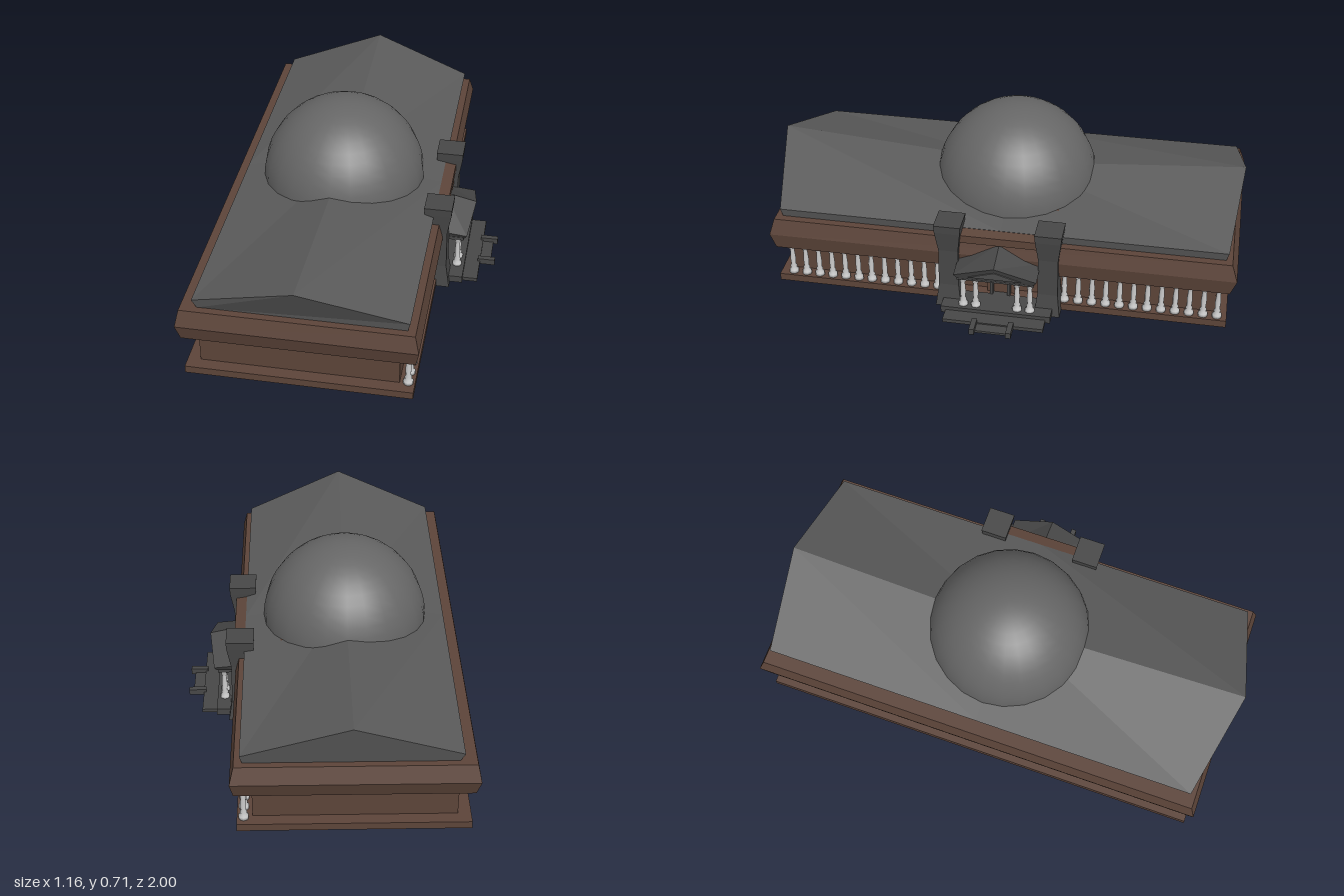
import * as THREE from 'three';

const ZC = -0.025; // z of the portico and dome axis

const brown = new THREE.MeshStandardMaterial({ color: 0x5c4439, flatShading: true });
const slate = new THREE.MeshStandardMaterial({ color: 0x5a5a5a, flatShading: true });
const stone = new THREE.MeshStandardMaterial({ color: 0x474747, flatShading: true });
const domeGrey = new THREE.MeshStandardMaterial({ color: 0x666666 });
const pale = new THREE.MeshStandardMaterial({ color: 0xcccccc });

// Closed solid through rings of points, each counter-clockwise seen from the last ring's side
function loft(rings) {
  const n = rings[0].length, last = (rings.length - 1) * n, index = [];
  for (let r = 0; r < rings.length - 1; r++) {
    for (let i = 0; i < n; i++) {
      const a = r * n + i, b = r * n + (i + 1) % n;
      index.push(a, b, b + n, a, b + n, a + n);
    }
  }
  for (let i = 1; i < n - 1; i++) {
    index.push(0, i + 1, i, last, last + i, last + i + 1);
  }
  const g = new THREE.BufferGeometry();
  g.setAttribute('position', new THREE.Float32BufferAttribute(rings.flat(2), 3));
  g.setIndex(index);
  const flat = g.toNonIndexed();
  flat.computeVertexNormals();
  return flat;
}

// Horizontal rectangular ring for loft
const rect = (y, x0, x1, z0, z1) => [[x0, y, z1], [x1, y, z1], [x1, y, z0], [x0, y, z0]];
const block = (x0, x1, y0, y1, z0, z1) => loft([rect(y0, x0, x1, z0, z1), rect(y1, x0, x1, z0, z1)]);

export function createModel() {
  const model = new THREE.Group();
  model.name = 'domedHall';
  const add = (name, geometry, material, parent = model) => {
    const mesh = new THREE.Mesh(geometry, material);
    mesh.name = name;
    parent.add(mesh);
    return mesh;
  };

  // Plinth, walls and bulging entablature
  add('plinth', block(-0.56, 0.345, 0, 0.032, -0.97, 0.935), brown);
  add('walls', block(-0.508, 0.285, 0.03, 0.2, -0.92, 0.885), brown);
  add('entablature', loft([
    rect(0.178, -0.565, 0.352, -0.972, 0.935),
    rect(0.248, -0.58, 0.365, -0.996, 0.955),
    rect(0.317, -0.565, 0.348, -0.972, 0.935),
  ]), brown);

  // Roof whose ridge rises to overhanging gables at both ends
  const roofRing = (zBottom, zEave, zRidge, ridge) => [
    [-0.5, 0.315, zBottom], [0.315, 0.315, zBottom], [0.325, 0.355, zEave],
    [-0.097, ridge, zRidge], [-0.517, 0.355, zEave],
  ];
  add('roof', loft([
    roofRing(-0.945, -0.955, -0.995, 0.508),
    roofRing(ZC, ZC, ZC, 0.43),
    roofRing(0.905, 0.912, 1.0, 0.508),
  ]), slate);

  // Dome
  const dome = add('dome', new THREE.SphereGeometry(0.343, 24, 12, 0, Math.PI * 2, 0, Math.PI / 2), domeGrey);
  dome.position.set(-0.095, 0.368, ZC);

  // Sloping deck between the dome and the pylons
  add('porticoDeck', loft([
    rect(0.31, 0.12, 0.37, ZC - 0.25, ZC + 0.25),
    [[0.12, 0.392, ZC + 0.22], [0.37, 0.345, ZC + 0.22], [0.37, 0.345, ZC - 0.22], [0.12, 0.392, ZC - 0.22]],
  ]), brown);

  // Columns, turned from one profile
  const profile = [[0, 0], [0.02, 0], [0.02, 0.014], [0.012, 0.022], [0.015, 0.032], [0.01, 0.04],
    [0.012, 0.075], [0.009, 0.118], [0.013, 0.124], [0.012, 0.132], [0.018, 0.14], [0.018, 0.15], [0, 0.15]];
  const columnGeometry = new THREE.LatheGeometry(profile.map(([r, y]) => new THREE.Vector2(r, y)), 10);
  const columns = new THREE.Group();
  columns.name = 'columns';
  model.add(columns);
  const addColumn = (name, x, z) => add(name, columnGeometry, pale, columns).position.set(x, 0.032, z);
  for (const side of [-1, 1]) {
    for (let i = 0; i < 12; i++) addColumn('colonnadeColumn', 0.318, ZC + side * (0.27 + i * 0.0577));
    for (const offset of [0.087, 0.14]) addColumn('porticoColumn', 0.42, ZC + side * offset);
  }

  // Waisted pylons on both sides of the portico
  for (const side of [-1, 1]) {
    const z = ZC + side * 0.208;
    const ring = (y, x0, x1, w) => rect(y, x0, x1, z - w, z + w);
    add('pylon', loft([
      ring(0, 0.285, 0.4, 0.054), ring(0.03, 0.288, 0.395, 0.05), ring(0.1, 0.3, 0.384, 0.042),
      ring(0.27, 0.302, 0.382, 0.041), ring(0.365, 0.287, 0.398, 0.053), ring(0.4, 0.285, 0.4, 0.056),
    ]), stone);
  }

  // Portico floor, step and cheek blocks
  add('porticoFloor', block(0.33, 0.452, 0.006, 0.036, ZC - 0.23, ZC + 0.23), stone);
  add('porticoStep', block(0.34, 0.515, 0.004, 0.02, ZC - 0.21, ZC + 0.21), stone);
  add('frontStep', block(0.5, 0.56, 0.004, 0.014, ZC - 0.07, ZC + 0.07), stone);
  for (const side of [-1, 1]) {
    const z = ZC + side * 0.076;
    add('stepCheek', block(0.505, 0.578, 0.006, 0.032, z - 0.011, z + 0.011), stone);
  }

  // Forward-leaning pediment with a recessed triangle, on a beam
  const gable = (x, lean, w, y0, y1, y2) => [
    [x, y0, ZC + w - 0.015], [x, y0, ZC - w + 0.015], [x + lean * 0.3, y1, ZC - w],
    [x + lean, y2, ZC], [x + lean * 0.3, y1, ZC + w],
  ];
  add('pediment', loft([gable(0.34, 0, 0.172, 0.19, 0.222, 0.305), gable(0.45, 0.03, 0.172, 0.188, 0.21, 0.272)]), stone);
  add('pedimentPanel', loft([
    [[0.44, 0.206, ZC + 0.11], [0.44, 0.206, ZC - 0.11], [0.46, 0.25, ZC]],
    [[0.462, 0.206, ZC + 0.11], [0.462, 0.206, ZC - 0.11], [0.477, 0.25, ZC]],
  ]), slate);
  add('porticoBeam', block(0.34, 0.445, 0.178, 0.192, ZC - 0.16, ZC + 0.16), stone);

  // Doorway: brown surround, dark arch and door
  add('doorSurround', block(0.27, 0.31, 0.03, 0.155, ZC - 0.058, ZC + 0.058), brown);
  const arch = new THREE.Shape([[-0.042, 0], [0.042, 0], [0.042, 0.065], [0.022, 0.085], [-0.022, 0.085], [-0.042, 0.065]]
    .map(([x, y]) => new THREE.Vector2(x, y)));
  arch.holes.push(new THREE.Path([[-0.03, 0.004], [-0.03, 0.06], [-0.017, 0.074], [0.017, 0.074], [0.03, 0.06], [0.03, 0.004]]
    .map(([x, y]) => new THREE.Vector2(x, y))));
  const doorArch = add('doorArch', new THREE.ExtrudeGeometry(arch, { depth: 0.03, bevelEnabled: false }), stone);
  doorArch.rotation.y = Math.PI / 2;
  doorArch.position.set(0.305, 0.032, ZC);
  add('door', block(0.3, 0.315, 0.034, 0.108, ZC - 0.031, ZC + 0.031), brown);

  return model;
}
